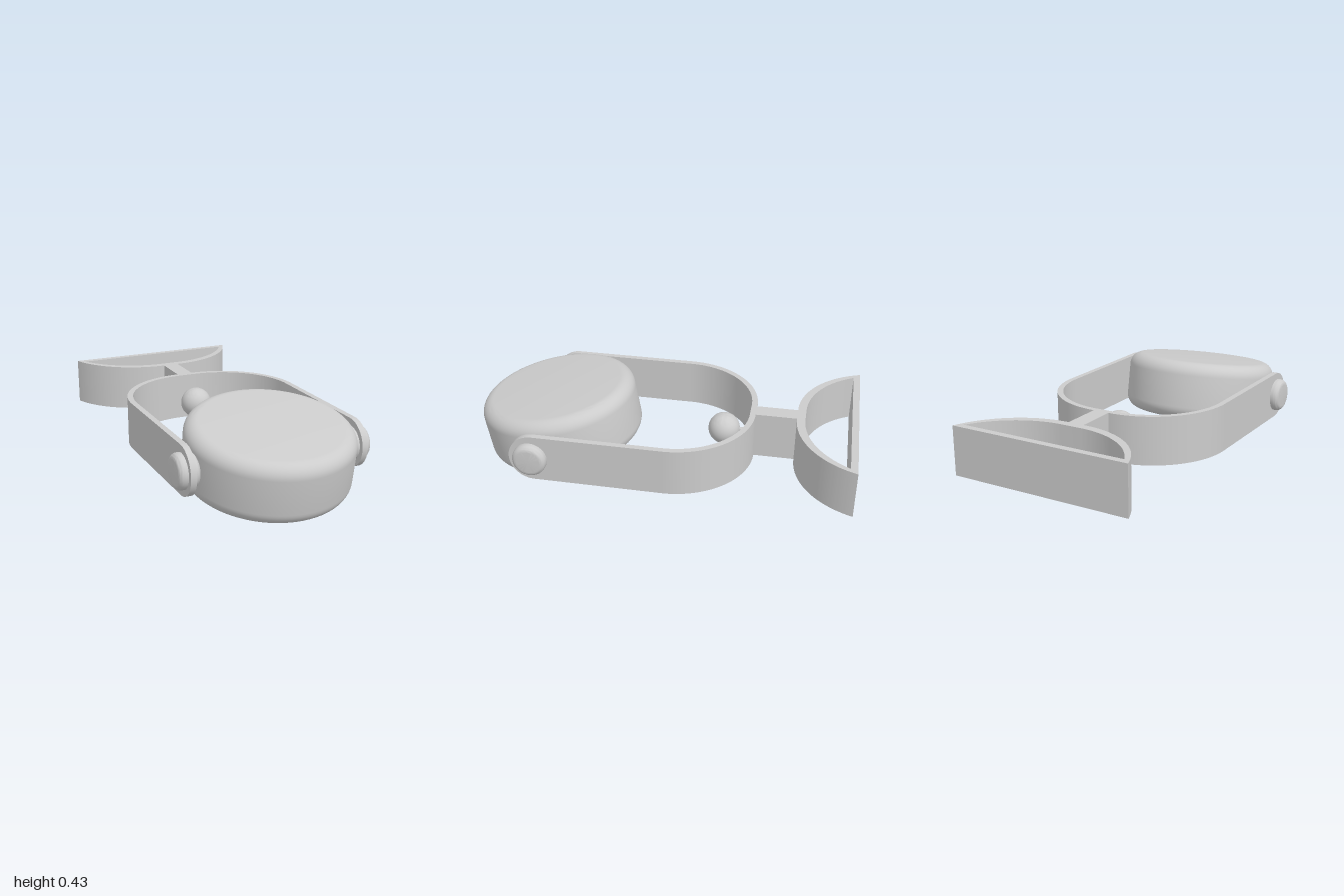
import * as THREE from 'three';
import { toCreasedNormals } from 'three/addons/utils/BufferGeometryUtils.js';

const MID = 0.213;   // height of the frame's centre line
const BAND = 0.25;   // height of the extruded frame
const TILT = THREE.MathUtils.degToRad(10);

export function createModel() {
  const model = new THREE.Group();
  model.name = 'swivelHeadOnYoke';
  const material = new THREE.MeshStandardMaterial({ color: 0xcccccc });
  const { PI } = Math;

  function add(name, geometry, parent = model) {
    const mesh = new THREE.Mesh(toCreasedNormals(geometry, 0.5), material);
    mesh.name = name;
    parent.add(mesh);
    return mesh;
  }

  // Extrudes a plan outline drawn in (x, z) to the height of the frame
  function extrudePlan(shape) {
    const g = new THREE.ExtrudeGeometry(shape, { depth: BAND, bevelEnabled: false, curveSegments: 32 });
    return g.rotateX(PI / 2).translate(0, MID + BAND / 2, 0);
  }

  // Appends a rounded corner of radius r to a profile
  function fillet(points, x, y, r, from, to, steps = 10) {
    for (let i = 0; i <= steps; i++) {
      const a = from + (to - from) * i / steps;
      points.push(new THREE.Vector2(x + r * Math.cos(a), y + r * Math.sin(a)));
    }
  }

  // U-shaped yoke
  const armOut = 0.465, armIn = 0.435, armEnd = 0.597, flat = 0.05, bendZ = -0.06;
  const yoke = new THREE.Shape();
  yoke.moveTo(armOut, armEnd);
  yoke.lineTo(armOut, bendZ);
  yoke.absarc(flat, bendZ, armOut - flat, 0, -PI / 2, true);
  yoke.absarc(-flat, bendZ, armOut - flat, -PI / 2, -PI, true);
  yoke.lineTo(-armOut, armEnd);
  yoke.lineTo(-armIn, armEnd);
  yoke.lineTo(-armIn, bendZ);
  yoke.absarc(-flat, bendZ, armIn - flat, -PI, -PI / 2, false);
  yoke.absarc(flat, bendZ, armIn - flat, -PI / 2, 0, false);
  yoke.lineTo(armIn, armEnd);
  add('yoke', extrudePlan(yoke));

  // Rounded arm ends and pivot buttons, mirrored
  const button = [new THREE.Vector2(0, -0.054)];
  fillet(button, 0.06, -0.026, 0.028, -PI / 2, 0, 8);
  fillet(button, 0.06, 0.026, 0.028, 0, PI / 2, 8);
  button.push(new THREE.Vector2(0, 0.054));
  for (const [side, s] of [['left', 1], ['right', -1]]) {
    const end = new THREE.CylinderGeometry(BAND / 2, BAND / 2, armOut - armIn, 32, 1, false, -PI / 2, PI);
    add(side + 'ArmEnd', end.rotateZ(PI / 2)).position.set(s * 0.45, MID, armEnd);
    const pivot = new THREE.LatheGeometry(button, 40).rotateZ(PI / 2);
    add(side + 'PivotButton', pivot).position.set(s * 0.453, MID, 0.61);
  }

  // Stem between the yoke and the mounting bracket
  add('stem', new THREE.BoxGeometry(0.085, BAND, 0.25)).position.set(0, MID, -0.585);

  // D-shaped hollow mounting bracket
  function dShape(path, z, r, a) {
    path.absarc(flat, z, r, a, PI / 2, false);
    path.absarc(-flat, z, r, PI / 2, PI - a, false);
    path.closePath();
    return path;
  }
  const bracket = dShape(new THREE.Shape(), -1.139, 0.452, Math.asin(0.139 / 0.452));
  bracket.holes.push(dShape(new THREE.Path(), -1.171, 0.441, Math.asin(0.206 / 0.441)));
  add('mountingBracket', extrudePlan(bracket));

  // Ball on a short pin inside the yoke
  add('ball', new THREE.SphereGeometry(0.083, 40, 24)).position.set(0, MID, -0.31);
  const pin = new THREE.CylinderGeometry(0.012, 0.012, 0.1, 16).rotateX(PI / 2);
  add('ballPin', pin).position.set(0, MID, -0.41);

  // Tilted round head with a recessed underside
  const head = new THREE.Group();
  head.name = 'head';
  head.position.set(0, 0.2175, 0.57);
  head.rotation.x = TILT;
  model.add(head);
  const R = 0.415, H = 0.158, r = 0.07;
  const body = [[0, -0.118], [0.33, -0.118], [0.33, -H]].map(p => new THREE.Vector2(...p));
  fillet(body, R - r, -H + r, r, -PI / 2, 0);
  fillet(body, R - r, H - r, r, 0, PI / 2);
  body.push(new THREE.Vector2(0, H));
  add('headBody', new THREE.LatheGeometry(body, 72), head);

  // Round-edged disc set into the recess
  const disc = [new THREE.Vector2(0, -0.148)];
  fillet(disc, 0.23, -0.121, 0.027, -PI / 2, 0, 8);
  disc.push(new THREE.Vector2(0.257, -0.11));
  add('undersideDisc', new THREE.LatheGeometry(disc, 64), head);

  return model;
}
